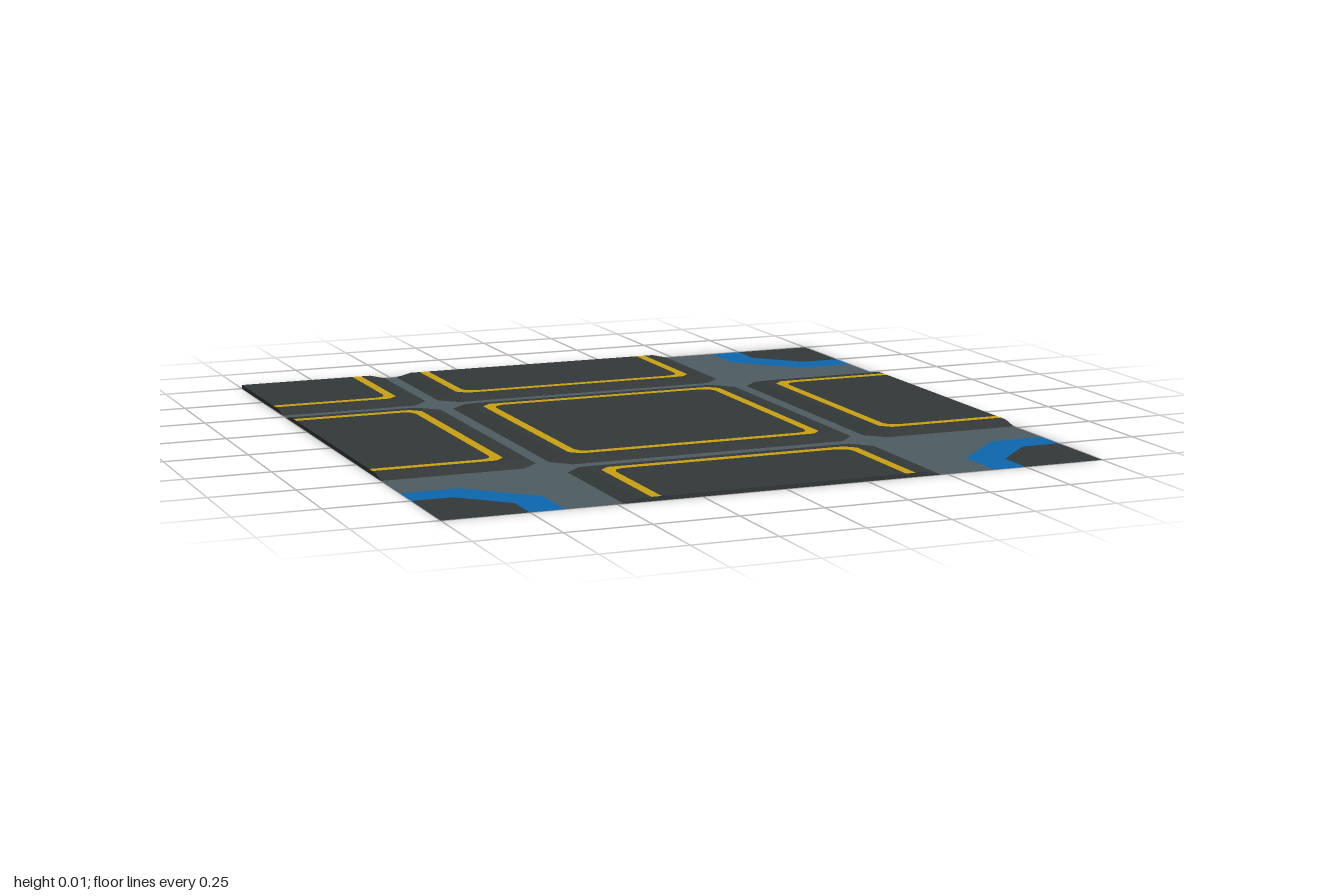
import * as THREE from 'three';

const HEIGHT = 0.012;   // panel thickness above the base
const EDGE = 1;         // half size of the tile

const mat = (name, color) => {
  const m = new THREE.MeshStandardMaterial({ color, side: THREE.DoubleSide });
  m.name = name;
  return m;
};

// Panel outline, inset only on sides that are not cut by the tile border.
function outline([x0, x1, z0, z1], inset, cut, bulge, y) {
  const onEdge = v => Math.abs(v) >= EDGE;
  const X0 = onEdge(x0) ? x0 : x0 + inset, X1 = onEdge(x1) ? x1 : x1 - inset;
  const Z0 = onEdge(z0) ? z0 : z0 + inset, Z1 = onEdge(z1) ? z1 : z1 - inset;
  const corners = [
    [X1, Z1, 1, 0, 0, -1], [X1, Z0, 0, -1, -1, 0],
    [X0, Z0, -1, 0, 0, 1], [X0, Z1, 0, 1, 1, 0],
  ];
  const pts = [];
  for (const [x, z, ax, az, bx, bz] of corners) {
    const c = onEdge(x) || onEdge(z) ? 0 : cut;
    pts.push(
      new THREE.Vector3(x - ax * c, y, z - az * c),
      new THREE.Vector3(x + (bx - ax) * c * bulge, y, z + (bz - az) * c * bulge),
      new THREE.Vector3(x + bx * c, y, z + bz * c));
  }
  return pts;
}

// Flat-shaded triangles, leaving out those with no area.
function trianglesToGeometry(tris) {
  const pos = [];
  for (const [a, b, c] of tris) {
    if (new THREE.Triangle(a, b, c).getArea() < 1e-8) continue;
    for (const p of [a, b, c]) pos.push(p.x, p.y, p.z);
  }
  const g = new THREE.BufferGeometry();
  g.setAttribute('position', new THREE.Float32BufferAttribute(pos, 3));
  g.computeVertexNormals();
  return g;
}

const band = (outer, inner) => outer.flatMap((p, i) => {
  const j = (i + 1) % outer.length;
  return [[p, outer[j], inner[j]], [p, inner[j], inner[i]]];
});

function cap(ring) {
  const box = new THREE.Box3().setFromPoints(ring);
  const centre = box.getCenter(new THREE.Vector3());
  return ring.map((p, i) => [centre, p, ring[(i + 1) % ring.length]]);
}

// Flat polygon from [x, z] points, lying at y = 0 and facing up.
function flat(points) {
  const shape = new THREE.Shape(points.map(([x, z]) => new THREE.Vector2(x, -z)));
  return new THREE.ShapeGeometry(shape).rotateX(-Math.PI / 2);
}

export function createModel() {
  const group = new THREE.Group();
  group.name = 'floorTile';
  const slate = mat('slate', 0x4d5d63);
  const charcoal = mat('charcoal', 0x333838);
  const yellow = mat('yellow', 0xc9a010);
  const blue = mat('blue', 0x0d67ae);

  const add = (parent, name, geometry, material) => {
    const mesh = new THREE.Mesh(geometry, material);
    mesh.name = name;
    parent.add(mesh);
  };

  // Chamfered notch around one tile corner
  const notch = (sx, sz, start, bend) => [
    [1, start], [bend, start], [start, bend], [start, 1],
  ].map(([x, z]) => [x * sx, z * sz]);

  // Base sheet with three corners cut away
  const base = [
    ...notch(1, 1, 0.65, 0.83).reverse(),
    ...notch(1, -1, 0.65, 0.83),
    [-1, -1],
    ...notch(-1, 1, 0.65, 0.83),
  ];
  add(group, 'base', flat(base), slate);

  // Blue bands and dark plates in the open corners
  for (const [sx, sz] of [[1, 1], [1, -1], [-1, 1]]) {
    const corner = new THREE.Group();
    corner.name = 'cornerMarking';
    const outer = notch(sx, sz, 0.65, 0.83);
    const inner = notch(sx, sz, 0.75, 0.88);
    add(corner, 'cornerBand', flat([...outer, ...[...inner].reverse()]), blue);
    add(corner, 'cornerPlate', flat([...inner, [sx, sz]]), charcoal);
    group.add(corner);
  }

  // Raised panels with bevelled rims and an inlaid yellow line
  const spans = [[-1, -0.52], [-0.48, 0.48], [0.52, 1]];
  for (const [col, row] of [[0, 0], [1, 0], [0, 1], [1, 1], [2, 1], [1, 2]]) {
    const area = [...spans[col], ...spans[row]];
    const foot = outline(area, 0, 0.055, 0.5, 0);
    const rim = outline(area, 0.05, 0.04, 0.5, HEIGHT);
    const lineOuter = outline(area, 0.08, 0.03, 0.5, HEIGHT);
    const lineInner = outline(area, 0.11, 0.035, 0.29, HEIGHT);
    const panel = new THREE.Group();
    panel.name = 'panel';
    add(panel, 'panelRim', trianglesToGeometry([...band(foot, rim), ...band(rim, lineOuter)]), charcoal);
    add(panel, 'panelLine', trianglesToGeometry(band(lineOuter, lineInner)), yellow);
    add(panel, 'panelTop', trianglesToGeometry(cap(lineInner)), charcoal);
    group.add(panel);
  }
  return group;
}
